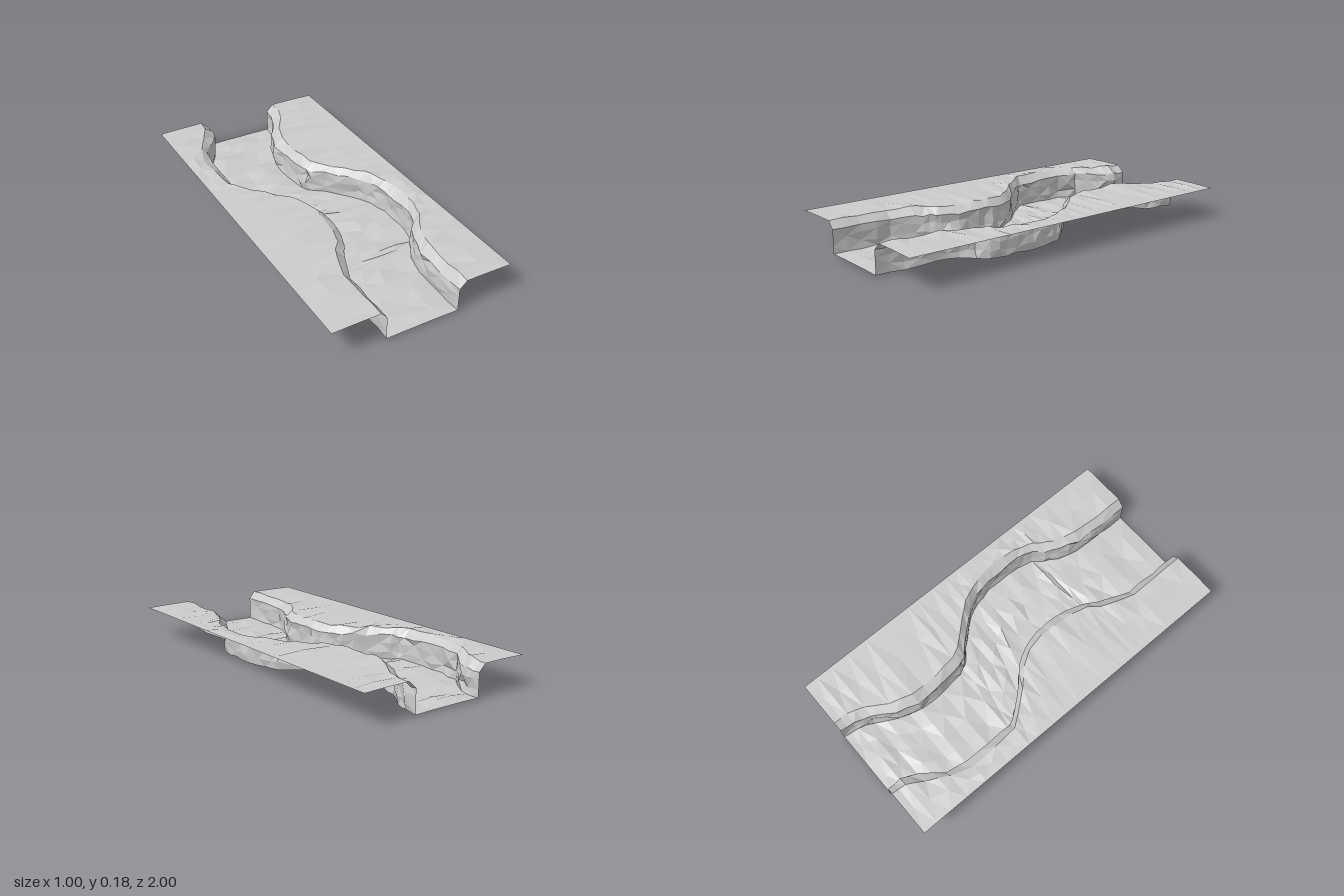
import * as THREE from 'three';

// Stations along the channel: z, left lip outer/inner x, right lip inner/outer x
const STATIONS = [
  [-1, -0.24, -0.2, 0.2, 0.24],
  [-0.92, -0.25, -0.2, 0.19, 0.24],
  [-0.83, -0.30, -0.24, 0.16, 0.21],
  [-0.72, -0.36, -0.325, 0.09, 0.14],
  [-0.6, -0.40, -0.35, 0.05, 0.10],
  [-0.45, -0.395, -0.35, 0.055, 0.10],
  [-0.31, -0.385, -0.345, 0.07, 0.12],
  [-0.25, -0.34, -0.31, 0.10, 0.15],
  [-0.14, -0.25, -0.215, 0.21, 0.25],
  [-0.05, -0.16, -0.125, 0.29, 0.325],
  [0.03, -0.11, -0.075, 0.33, 0.36],
  [0.13, -0.09, -0.05, 0.345, 0.39],
  [0.22, -0.095, -0.05, 0.35, 0.40],
  [0.34, -0.105, -0.06, 0.35, 0.385],
  [0.43, -0.13, -0.09, 0.325, 0.36],
  [0.48, -0.175, -0.125, 0.28, 0.325],
  [0.55, -0.205, -0.16, 0.24, 0.285],
  [0.67, -0.24, -0.2, 0.205, 0.25],
  [0.84, -0.24, -0.205, 0.2, 0.24],
  [1, -0.24, -0.205, 0.2, 0.24],
];

function makeRandom(seed) {
  return () => {
    seed = (seed * 16807) % 2147483647;
    return (seed / 2147483647) * 2 - 1;
  };
}

// Insert a midpoint row between every pair of stations
function refine(rows) {
  const out = [rows[0]];
  for (let i = 1; i < rows.length; i++) {
    out.push(rows[i].map((v, k) => (v + rows[i - 1][k]) / 2), rows[i]);
  }
  return out;
}

// Cross-section from the left edge to the right edge, roughened by random steps
function crossSection([z, lo, li, ri, ro], rand) {
  const rough = Math.abs(z) === 1 ? 0 : 1;
  const n = (amount) => rand() * amount * rough;
  const bank = 0.175, lip = 0.14, bed = 0.013;
  const wall = (x, y, spread) => [x + n(spread), y + n(0.008), z];
  const points = [
    [-0.5, bank, z],
    [(lo - 0.5) / 2, bank + 0.003 + n(0.006), z],
    [lo, bank + 0.003 + n(0.007), z],
    wall(li, lip, 0.004),
    wall(li, 0.1, 0.012),
    wall(li, 0.05, 0.012),
    [li + n(0.006), bed + n(0.006), z],
  ];
  for (let k = 1; k < 4; k++) {
    points.push([li + ((ri - li) * k) / 4, bed + 0.002 + n(0.01), z]);
  }
  points.push(
    [ri + n(0.006), bed + n(0.006), z],
    wall(ri, 0.05, 0.012),
    wall(ri, 0.1, 0.012),
    wall(ri, lip, 0.004),
    [ro, bank + 0.003 + n(0.007), z],
    [(ro + 0.5) / 2, bank + 0.003 + n(0.006), z],
    [0.5, bank, z],
  );
  return points;
}

// Surface through one range of columns of the cross-sections
function strip(name, sections, from, to, material) {
  const width = to - from + 1;
  const index = [];
  for (let j = 0; j < sections.length - 1; j++) {
    for (let i = 0; i < width - 1; i++) {
      const a = j * width + i, b = a + width;
      if ((i + j) % 2) index.push(a, b, a + 1, b, b + 1, a + 1);
      else index.push(a, b, b + 1, a, b + 1, a + 1);
    }
  }
  const geometry = new THREE.BufferGeometry();
  const positions = sections.flatMap((s) => s.slice(from, to + 1)).flat();
  geometry.setAttribute('position', new THREE.Float32BufferAttribute(positions, 3));
  geometry.setIndex(index);
  geometry.computeVertexNormals();
  const mesh = new THREE.Mesh(geometry, material);
  mesh.name = name;
  return mesh;
}

export function createModel() {
  const group = new THREE.Group();
  group.name = 'riverChannelTile';
  const material = new THREE.MeshStandardMaterial({
    color: 0xcccccc, flatShading: true, side: THREE.DoubleSide,
  });
  const rand = makeRandom(4711);
  const sections = refine(STATIONS).map((row) => crossSection(row, rand));

  // Flat banks, bevelled lips, rough walls and the channel bed
  const parts = [
    ['rightBank', 0, 2], ['rightLip', 2, 3], ['rightWall', 3, 6],
    ['channelBed', 6, 10],
    ['leftWall', 10, 13], ['leftLip', 13, 14], ['leftBank', 14, 16],
  ];
  for (const [name, from, to] of parts) {
    group.add(strip(name, sections, from, to, material));
  }
  return group;
}
